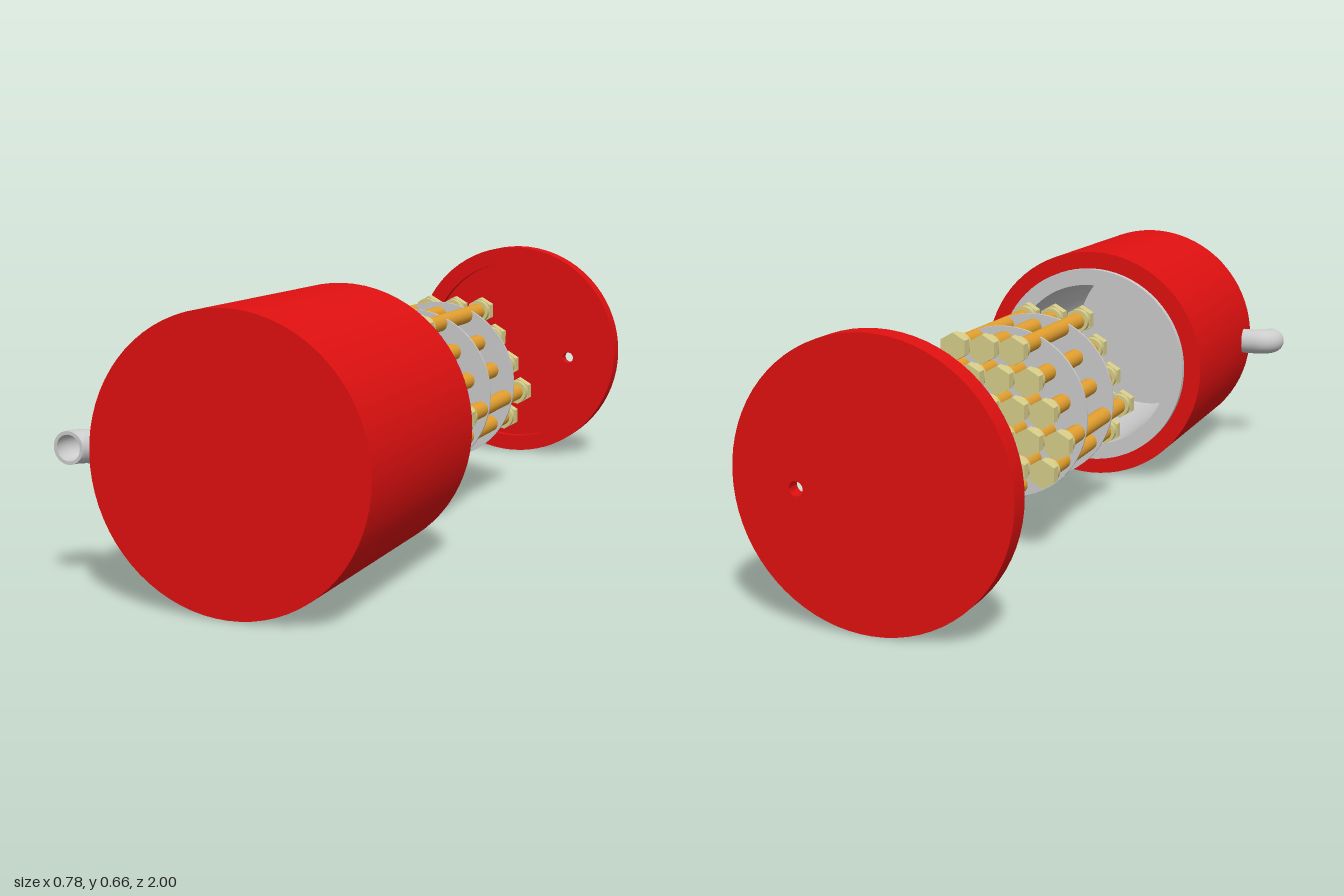
import * as THREE from 'three';
import { toCreasedNormals } from 'three/addons/utils/BufferGeometryUtils.js';

const CX = 0.06, CY = 0.332, R = 0.331, LINER = 0.283;

const material = (color, side = THREE.FrontSide) => new THREE.MeshStandardMaterial({ color, side });
const red = material(0xe01010);
const grey = material(0xcccccc);
const greyThin = material(0xcccccc, THREE.DoubleSide);
const orange = material(0xe3a030);
const brass = material(0xd8ce8a);

function mesh(name, geometry, mat, x = 0, y = 0, z = 0) {
  const m = new THREE.Mesh(geometry, mat);
  m.name = name;
  m.position.set(x, y, z);
  return m;
}

// Revolve [radius, z] points about the z axis
function turned(points) {
  const g = new THREE.LatheGeometry(points.map(p => new THREE.Vector2(...p)), 72);
  return toCreasedNormals(g.rotateX(Math.PI / 2), 0.6);
}

// Disc with one round hole, thick along z
function pierced(radius, holeRadius, hx, hy, depth) {
  const s = new THREE.Shape().absarc(0, 0, radius, 0, Math.PI * 2);
  s.holes.push(new THREE.Path().absarc(hx, hy, holeRadius, 0, Math.PI * 2, true));
  const g = new THREE.ExtrudeGeometry(s, { depth, bevelEnabled: false, curveSegments: 36 });
  return toCreasedNormals(g, 0.6);
}

const cylinder = (r, length, sides) =>
  new THREE.CylinderGeometry(r, r, length, sides).rotateX(Math.PI / 2);

// Side outlet that turns to the front, with a visible wall thickness
function createOutlet() {
  const g = new THREE.Group();
  g.name = 'outletPipe';
  const path = new THREE.CurvePath();
  const a = new THREE.Vector3(-0.18, CY, 0.922), b = new THREE.Vector3(-0.312, CY, 0.922);
  const corner = new THREE.Vector3(-0.352, CY, 0.922), end = new THREE.Vector3(-0.352, CY, 0.96);
  path.add(new THREE.LineCurve3(a, b));
  const k = 0.552;
  path.add(new THREE.CubicBezierCurve3(b, b.clone().lerp(corner, k), end.clone().lerp(corner, k), end));
  g.add(mesh('pipeOuter', new THREE.TubeGeometry(path, 40, 0.038, 28), greyThin));
  g.add(mesh('pipeInner', new THREE.TubeGeometry(path, 40, 0.03, 28), greyThin));
  g.add(mesh('pipeRim', new THREE.RingGeometry(0.03, 0.038, 28), greyThin, end.x, end.y, end.z));
  return g;
}

// Staggered bundle of rods with a hex nut and collar at each end
function createBundle() {
  const g = new THREE.Group();
  g.name = 'rodBundle';
  g.position.set(CX, CY, -0.148);
  const rod = cylinder(0.022, 0.46, 20);
  const nut = toCreasedNormals(cylinder(0.037, 0.028, 6), 0.6);
  const collar = cylinder(0.031, 0.018, 20);
  const rowPitch = 0.075, pitch = 0.078;
  for (let row = 0; row < 6; row++) {
    const y = (2.5 - row) * rowPitch;
    for (let col = -3; col <= 3; col++) {
      const x = (col + (row % 2) / 2) * pitch;
      if (Math.hypot(x, y) > 0.205) continue;
      g.add(mesh('rod', rod, orange, x, y, 0));
      for (const s of [-1, 1]) {
        g.add(mesh('nut', nut, brass, x, y, s * 0.239));
        g.add(mesh('nutCollar', collar, brass, x, y, s * 0.216));
      }
    }
  }
  // Thin support plates
  for (const z of [0.093, -0.107])
    g.add(mesh('supportPlate', toCreasedNormals(cylinder(0.222, 0.007, 64), 0.6), grey, 0, 0, z));
  return g;
}

export function createModel() {
  const model = new THREE.Group();
  model.name = 'explodedVessel';

  // Housing closed at the front and its liner, open to the back
  model.add(mesh('housing', turned([[LINER, 0.4], [R, 0.4], [R, 1], [0, 1]]), red, CX, CY));
  model.add(mesh('liner', turned([[0, 0.95], [0.237, 0.95], [0.237, 0.38],
    [LINER, 0.38], [LINER, 0.97], [0, 0.97]]), grey, CX, CY));
  model.add(createOutlet());
  model.add(createBundle());

  // Lid with a shallow recess and a small through hole
  const lid = new THREE.Group();
  lid.name = 'lid';
  lid.position.set(CX, CY, -1);
  lid.add(mesh('lidPlate', pierced(R, 0.017, 0.175, -0.02, 0.035), red));
  lid.add(mesh('lidRim', pierced(R, LINER, 0, 0, 0.021), red, 0, 0, 0.035));
  model.add(lid);
  return model;
}
